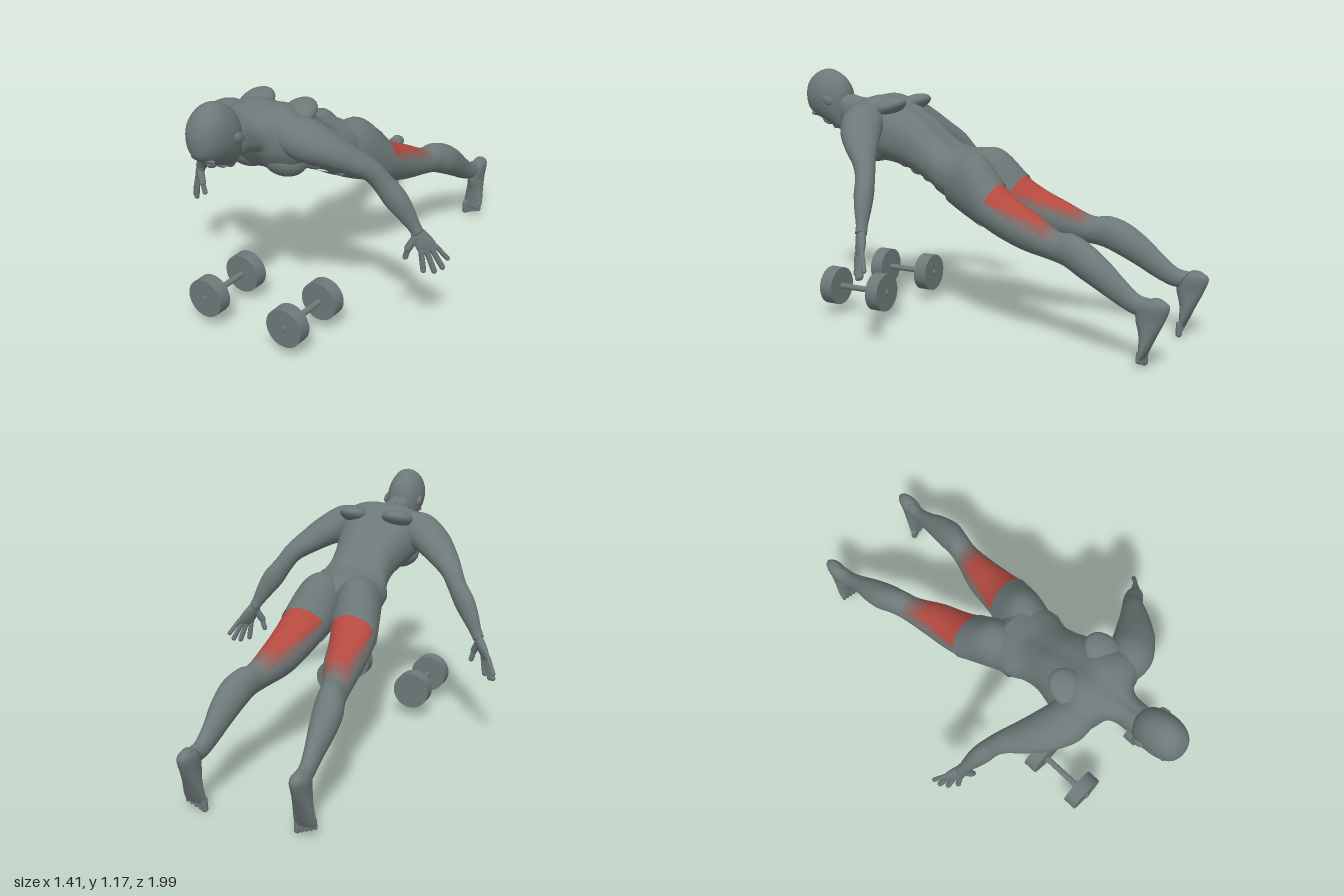
import * as THREE from 'three';

const mat = (name, color, side = THREE.FrontSide) =>
  Object.assign(new THREE.MeshStandardMaterial({ color, side }), { name });
const V = (x, y, z) => new THREE.Vector3(x, y, z);

// Ring spanned between a back point and a front point in the yz plane, with half width w
const ring = (cx, w, backZ, backY, frontZ, frontY) => ({
  c: V(cx, (backY + frontY) / 2, (backZ + frontZ) / 2),
  u: V(w, 0, 0),
  v: V(0, (backY - frontY) / 2, (backZ - frontZ) / 2),
});
const mirrorRings = (rings, s) => rings.map((r) => ({ c: V(r.c.x * s, r.c.y, r.c.z), u: r.u, v: r.v }));
const growRings = (rings, d) => rings.map((r) => ({
  c: r.c,
  u: r.u.clone().setLength(r.u.length() + d),
  v: r.v.clone().setLength(r.v.length() + d),
}));

// Rings along a path; each point is [x, y, z, level half width, upright half width]
function pathRings(points, s) {
  const p = points.map((q) => V(q[0] * s, q[1], q[2]));
  return p.map((c, i) => {
    const t = p[Math.min(i + 1, p.length - 1)].clone().sub(p[Math.max(i - 1, 0)]).normalize();
    const u = V(0, 1, 0).cross(t).normalize();
    const v = t.clone().cross(u);
    return { c, u: u.multiplyScalar(points[i][3]), v: v.multiplyScalar(points[i][4]) };
  });
}

// Smooth skin through rings; paint(t, angle) picks a material slot for each face
function loft(rings, { seg = 32, steps = 6, power = 1, groove = 0, caps = true, paint = null } = {}) {
  const curve = (k) => new THREE.CatmullRomCurve3(rings.map((r) => r[k]), false, 'catmullrom', 0.5);
  const [cc, cu, cv] = ['c', 'u', 'v'].map(curve);
  const n = (rings.length - 1) * steps;
  const pos = [], buckets = [];
  const sp = (x) => Math.sign(x) * Math.abs(x) ** power;
  for (let i = 0; i <= n; i++) {
    const [c, u, v] = [cc, cu, cv].map((k) => k.getPoint(i / n));
    for (let j = 0; j < seg; j++) {
      const a = (j / seg) * Math.PI * 2, x = Math.cos(a);
      const k = 1 - groove * Math.exp(-((x / 0.14) ** 2));
      pos.push(...c.clone().addScaledVector(u, sp(x)).addScaledVector(v, sp(Math.sin(a)) * k).toArray());
    }
  }
  const m = rings.length >> 1;
  const flip = rings[m].u.clone().cross(rings[m].v).dot(rings[m].c.clone().sub(rings[m - 1].c)) < 0;
  const add = (slot, a, b, c) => (buckets[slot] ??= []).push(...(flip ? [a, c, b] : [a, b, c]));
  for (let i = 0; i < n; i++) for (let j = 0; j < seg; j++) {
    const k = (j + 1) % seg, a = i * seg + j, b = i * seg + k;
    const slot = paint ? paint((i + 0.5) / steps, ((j + 0.5) / seg) * Math.PI * 2) : 0;
    add(slot, a, b, b + seg);
    add(slot, a, b + seg, a + seg);
  }
  if (caps) {
    const e = pos.length / 3;
    pos.push(...rings[0].c.toArray(), ...rings.at(-1).c.toArray());
    for (let j = 0; j < seg; j++) {
      const k = (j + 1) % seg;
      add(0, e, k, j);
      add(0, e + 1, n * seg + j, n * seg + k);
    }
  }
  const g = new THREE.BufferGeometry();
  g.setAttribute('position', new THREE.Float32BufferAttribute(pos, 3));
  const index = [];
  buckets.forEach((b, slot) => {
    g.addGroup(index.length, b.length, slot);
    for (const q of b) index.push(q);
  });
  g.setIndex(index);
  g.computeVertexNormals();
  if (!paint) g.clearGroups();
  return g;
}

export function createModel() {
  const model = new THREE.Group();
  const grey = mat('slate grey', 0x6d7878);
  const cloth = mat('trunks grey', 0x6b7676, THREE.DoubleSide);
  const legMats = [grey, mat('muscle red', 0xb54a40), mat('soft red', 0x9c5750),
    mat('dull red', 0x876460), mat('faint red', 0x7a6f6d)];

  const put = (name, geo, m = grey, parent = model) => {
    const mesh = new THREE.Mesh(geo, m);
    mesh.name = name;
    parent.add(mesh);
    return mesh;
  };
  const blob = (name, p, r, tilt = 0) => {
    const mesh = put(name, new THREE.SphereGeometry(1, 24, 16));
    mesh.position.set(...p);
    mesh.scale.set(...r);
    mesh.rotation.x = tilt;
  };
  const capsule = (name, p, q, r) => {
    const d = q.clone().sub(p);
    const mesh = put(name, new THREE.CapsuleGeometry(r, d.length(), 6, 12));
    mesh.position.copy(p).addScaledVector(d, 0.5);
    mesh.quaternion.setFromUnitVectors(V(0, 1, 0), d.normalize());
  };

  // Torso and neck
  const torso = [
    ring(0, 0.11, -0.01, 0.755, 0.02, 0.56), ring(0, 0.168, 0.04, 0.81, 0.10, 0.565),
    ring(0, 0.172, 0.14, 0.83, 0.20, 0.625), ring(0, 0.15, 0.22, 0.88, 0.27, 0.66),
    ring(0, 0.153, 0.30, 0.945, 0.36, 0.705), ring(0, 0.182, 0.40, 1.005, 0.45, 0.735),
    ring(0, 0.205, 0.48, 1.05, 0.54, 0.75), ring(0, 0.212, 0.54, 1.062, 0.605, 0.79),
    ring(0, 0.175, 0.60, 1.05, 0.645, 0.85), ring(0, 0.095, 0.65, 1.036, 0.665, 0.885),
    ring(0, 0.068, 0.70, 1.036, 0.705, 0.89), ring(0, 0.064, 0.76, 1.05, 0.76, 0.895),
    ring(0, 0.05, 0.82, 1.06, 0.80, 0.92),
  ];
  put('torso', loft(torso, { power: 0.87, groove: 0.06, seg: 64 }));
  put('trunksHips', loft(growRings(torso.slice(1, 3), 0.007), { power: 0.87, caps: false, seg: 64 }), cloth);

  // Head and face
  put('head', loft([
    ring(0, 0.004, 0.983, 1.098, 0.987, 1.09), ring(0, 0.048, 0.95, 1.142, 0.999, 1.04),
    ring(0, 0.077, 0.89, 1.166, 0.99, 0.975), ring(0, 0.088, 0.83, 1.15, 0.955, 0.937),
    ring(0, 0.086, 0.78, 1.11, 0.91, 0.917), ring(0, 0.075, 0.757, 1.06, 0.86, 0.892),
    ring(0, 0.056, 0.76, 1.0, 0.805, 0.868), ring(0, 0.03, 0.765, 0.95, 0.775, 0.872),
  ]));
  blob('brow', [0, 0.949, 0.947], [0.06, 0.014, 0.018], -0.5);
  blob('nose', [0, 0.91, 0.896], [0.016, 0.017, 0.03], -0.3);
  blob('lips', [0, 0.886, 0.843], [0.026, 0.011, 0.016], -0.5);
  blob('chin', [0, 0.876, 0.796], [0.03, 0.015, 0.02], -0.4);

  // Leg rings from hip to ankle, then foot rings from heel to ball
  const leg = [
    ring(0.085, 0.085, 0.09, 0.815, 0.14, 0.59), ring(0.098, 0.102, -0.02, 0.81, 0.06, 0.55),
    ring(0.125, 0.108, -0.135, 0.695, -0.06, 0.502), ring(0.142, 0.098, -0.22, 0.637, -0.17, 0.455),
    ring(0.158, 0.085, -0.33, 0.585, -0.29, 0.418), ring(0.188, 0.063, -0.45, 0.527, -0.42, 0.40),
    ring(0.208, 0.061, -0.53, 0.528, -0.50, 0.385), ring(0.226, 0.066, -0.61, 0.50, -0.58, 0.35),
    ring(0.235, 0.056, -0.70, 0.44, -0.67, 0.305), ring(0.239, 0.041, -0.78, 0.37, -0.75, 0.262),
    ring(0.245, 0.034, -0.85, 0.315, -0.82, 0.232), ring(0.25, 0.033, -0.91, 0.302, -0.86, 0.225),
  ];
  const foot = [
    ring(0.255, 0.015, -0.965, 0.305, -0.92, 0.31), ring(0.256, 0.036, -0.995, 0.277, -0.855, 0.275),
    ring(0.256, 0.037, -0.975, 0.215, -0.848, 0.21), ring(0.256, 0.043, -0.943, 0.15, -0.864, 0.15),
    ring(0.257, 0.05, -0.91, 0.08, -0.868, 0.08), ring(0.257, 0.046, -0.892, 0.045, -0.866, 0.045),
  ];
  // Red patch on the back of the thigh, fading outward and toward the knee
  const hamstring = (t, angle) => {
    if (t < 2) return 0;
    const off = Math.abs(angle - Math.PI / 2);
    for (let k = 0; k < 4; k++) {
      const end = 4.35 + k * 0.24;
      if (t < end && off < 1.2 - 0.26 * (t - 2) + k * (0.03 + 0.08 * (t - 2))) return k + 1;
    }
    return 0;
  };

  const arm = [
    [0.09, 0.955, 0.555, 0.085, 0.075], [0.2, 0.935, 0.545, 0.1, 0.09], [0.28, 0.9, 0.505, 0.092, 0.075],
    [0.36, 0.845, 0.445, 0.072, 0.058], [0.42, 0.795, 0.392, 0.052, 0.047], [0.46, 0.735, 0.36, 0.044, 0.046],
    [0.505, 0.67, 0.337, 0.044, 0.052], [0.545, 0.605, 0.317, 0.036, 0.042],
    [0.575, 0.55, 0.302, 0.026, 0.03], [0.595, 0.515, 0.293, 0.026, 0.026],
  ];
  const tips = [[0.63, 0.345, 0.297], [0.665, 0.338, 0.266], [0.688, 0.35, 0.236], [0.697, 0.383, 0.21]];

  for (const s of [1, -1]) {
    const side = s > 0 ? 'left' : 'right';
    const at = (x, y, z) => V(x * s, y, z);

    // Chest, shoulder blade and ear
    blob(side + 'Chest', [0.093 * s, 0.82, 0.545], [0.1, 0.07, 0.085], -0.4);
    blob(side + 'ShoulderBlade', [0.11 * s, 1.005, 0.47], [0.075, 0.04, 0.1], 0.35);
    blob(side + 'Ear', [0.09 * s, 1.02, 0.83], [0.011, 0.021, 0.03], -0.5);
    for (let i = 0; i < 3; i++)
      blob(side + 'Abdominal', [0.042 * s, 0.684 + i * 0.03, 0.28 + i * 0.065], [0.042, 0.022, 0.034], -0.42);

    // Leg, trunks leg and foot
    const legRings = mirrorRings(leg, s);
    put(side + 'Leg', loft(legRings, { seg: 48, steps: 10, paint: hamstring }), legMats);
    put(side + 'TrunksLeg', loft(growRings(legRings.slice(0, 3), 0.006), { seg: 48, caps: false }), cloth);
    put(side + 'Foot', loft(mirrorRings(foot, s)));
    for (let i = 0; i < 5; i++) {
      const x = 0.219 + i * 0.019, r = i ? 0.0095 : 0.015;
      capsule(side + 'Toe', at(x, 0.06 + i * 0.004, -0.878), at(x - 0.002 + i * 0.001, r + i * 0.008, -0.877), r);
    }

    // Arm and hand
    put(side + 'Arm', loft(pathRings(arm, s)));
    const across = at(0.6, 0.2, -0.77).normalize();
    const thick = across.clone().cross(at(0.055, -0.09, -0.02).normalize()).normalize();
    const palm = [[0.583, 0.535, 0.298, 0.024, 0.02], [0.605, 0.495, 0.287, 0.037, 0.021],
      [0.626, 0.458, 0.278, 0.044, 0.018], [0.641, 0.428, 0.271, 0.04, 0.012]];
    put(side + 'Palm', loft(palm.map(([x, y, z, a, b]) => ({
      c: at(x, y, z), u: across.clone().multiplyScalar(a), v: thick.clone().multiplyScalar(b),
    }))));
    tips.forEach((tip, i) => {
      const knuckle = at(0.638, 0.44, 0.273).addScaledVector(across, (i - 1.5) * 0.023);
      capsule(side + 'Finger', knuckle, at(...tip), i === 3 ? 0.0105 : 0.0125);
    });
    capsule(side + 'ThumbBase', at(0.594, 0.5, 0.303), at(0.567, 0.445, 0.322), 0.017);
    capsule(side + 'Thumb', at(0.567, 0.445, 0.322), at(0.554, 0.398, 0.322), 0.0125);

    // Dumbbell lying fore and aft
    const bell = new THREE.Group();
    bell.name = side + 'Dumbbell';
    bell.position.set(0.215 * s, 0.14, 0.582);
    bell.rotation.x = Math.PI / 2;
    put('bar', new THREE.CylinderGeometry(0.014, 0.014, 0.345, 20), grey, bell);
    for (const e of [1, -1])
      put('weight', new THREE.CylinderGeometry(0.09, 0.09, 0.065, 40), grey, bell).position.y = e * 0.13;
    model.add(bell);
  }
  return model;
}
